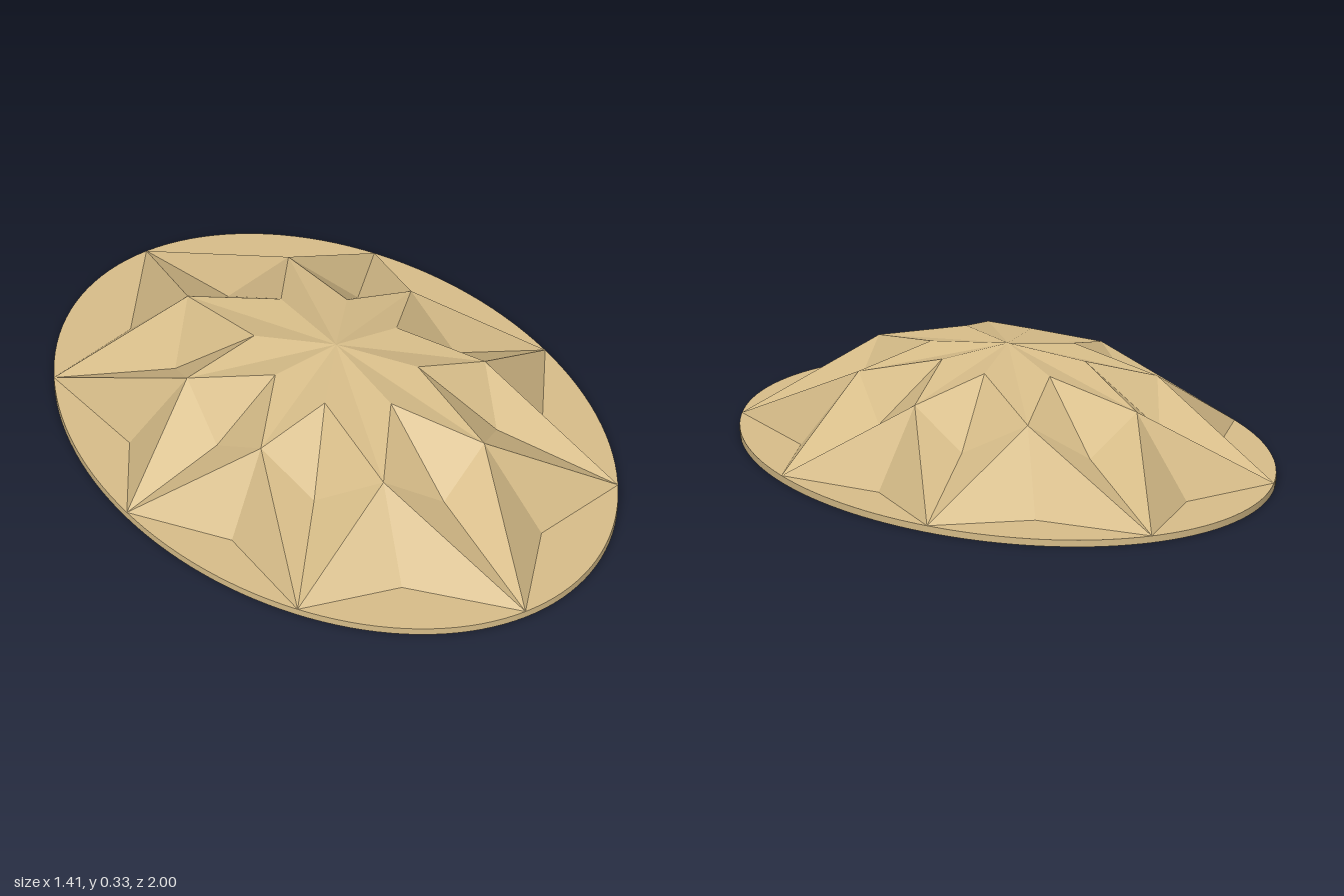
import * as THREE from 'three';

const RX = 0.705, RZ = 1, GIRDLE = 0.02;

// point on a scaled ellipse: degrees from the x axis, relative radius, height
const P = (deg, r, y) => {
  const a = THREE.MathUtils.degToRad(deg);
  return new THREE.Vector3(RX * r * Math.cos(a), y, RZ * r * Math.sin(a));
};

export function createModel() {
  const group = new THREE.Group();
  group.name = 'facetedOvalStone';
  const sand = new THREE.MeshStandardMaterial({ color: 0xd6bc88 });
  sand.name = 'sand';

  // thin oval girdle plate
  const plate = new THREE.CylinderGeometry(1, 1, GIRDLE, 128);
  plate.scale(RX, 1, RZ);
  plate.translate(0, GIRDLE / 2, 0);
  const girdle = new THREE.Mesh(plate, sand);
  girdle.name = 'girdle';
  group.add(girdle);

  // faceted crown: eight star points with a ridge between each pair
  const pos = [];
  const tri = (a, b, c) => {
    const up = b.clone().sub(a).cross(c.clone().sub(a)).y > 0;
    for (const v of up ? [a, b, c] : [a, c, b]) pos.push(v.x, v.y, v.z);
  };
  const apex = new THREE.Vector3(0, 0.33, 0);
  const tips = [0, 40, 90, 140, 180, 220, 270, 320];
  tips.forEach((t, i) => {
    const next = i < 7 ? tips[i + 1] : 360;
    const between = (t + next) / 2;
    const ridge = P(between, 0.57, 0.24);
    const notch = P(between, 0.79, GIRDLE);
    for (const a of [t, next]) {
      const tip = P(a, 1, GIRDLE), valley = P(a, 0.57, 0.135), inner = P(a, 0.29, 0.306);
      tri(apex, inner, ridge);
      tri(inner, valley, ridge);
      tri(valley, tip, ridge);
      tri(tip, notch, ridge);
    }
  });
  const geo = new THREE.BufferGeometry();
  geo.setAttribute('position', new THREE.Float32BufferAttribute(pos, 3));
  geo.computeVertexNormals();
  const crown = new THREE.Mesh(geo, sand);
  crown.name = 'crownFacets';
  group.add(crown);

  return group;
}
